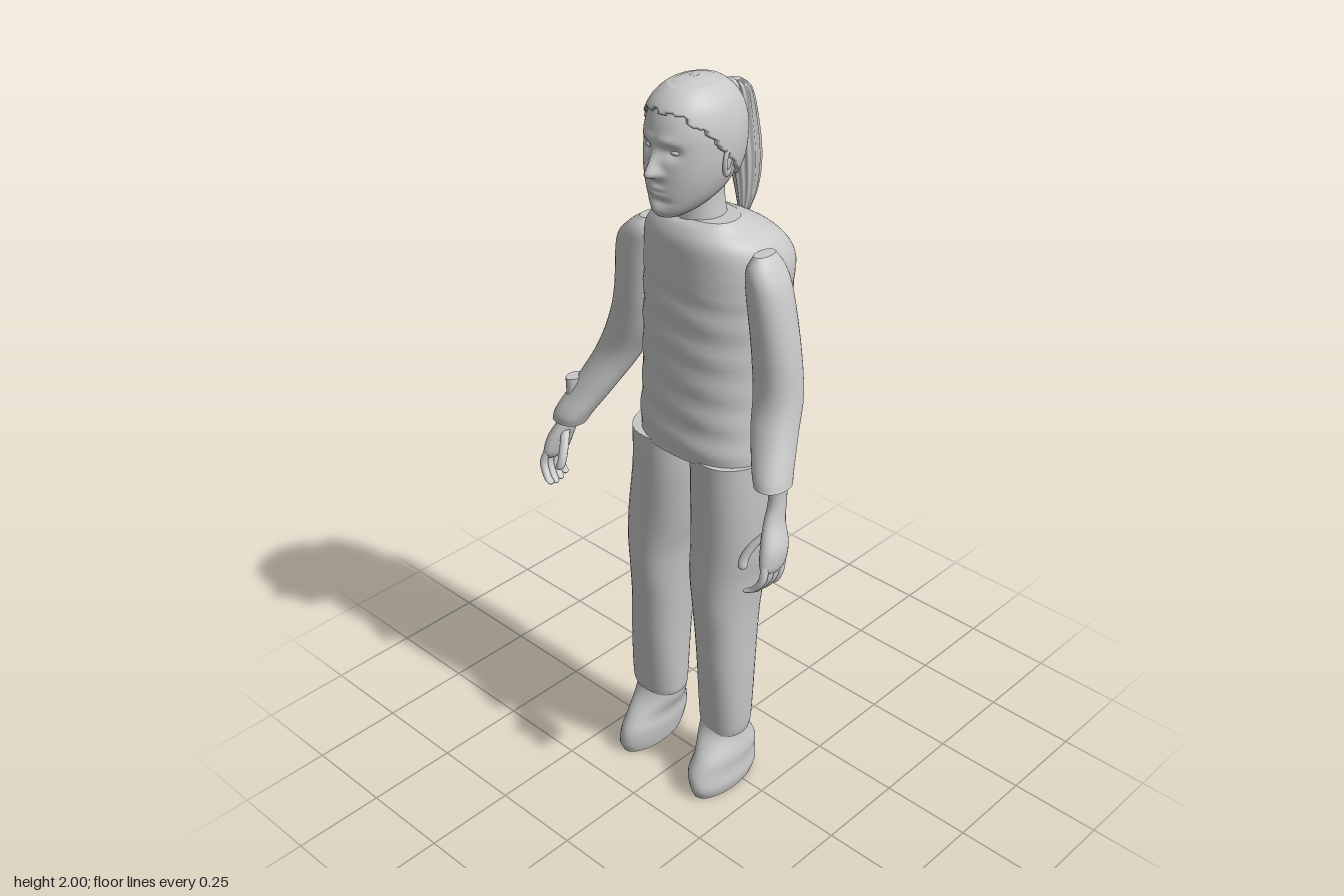
import * as THREE from 'three';

const grey = new THREE.MeshStandardMaterial({ color: 0xc8c8c8 });
grey.name = 'plain grey';

// Smooth skin through horizontal sections [y, x0, x1, z0, z1], listed top to bottom.
// power > 2 squares the section; ripple(angle) scales its radius; capped ends are crisp.
function loft(rings, { n = 32, rows = 30, power = 2, ripple = () => 1 } = {}) {
  const a = new THREE.CatmullRomCurve3(rings.map(r => new THREE.Vector3(r[0], r[1], r[2])), false, 'catmullrom');
  const b = new THREE.CatmullRomCurve3(rings.map(r => new THREE.Vector3(r[3], r[4], 0)), false, 'catmullrom');
  const pos = [], idx = [];
  const soft = v => Math.sign(v) * Math.pow(Math.abs(v), 2 / power);
  const addRing = t => {
    const p = a.getPoint(t), q = b.getPoint(t);
    const cx = (p.y + p.z) / 2, rx = (p.z - p.y) / 2, cz = (q.x + q.y) / 2, rz = (q.y - q.x) / 2;
    for (let j = 0; j < n; j++) {
      const w = j / n * Math.PI * 2, k = ripple(w);
      pos.push(cx + rx * k * soft(Math.sin(w)), p.x, cz + rz * k * soft(Math.cos(w)));
    }
    return [cx, p.x, cz];
  };
  for (let i = 0; i <= rows; i++) addRing(i / rows);
  for (let i = 0; i < rows; i++) for (let j = 0; j < n; j++) {
    const u = i * n + j, v = i * n + (j + 1) % n;
    idx.push(u, u + n, v + n, u, v + n, v);
  }
  for (const t of [0, 1]) {
    const start = pos.length / 3, c = addRing(t), centre = start + n;
    pos.push(...c);
    for (let j = 0; j < n; j++) {
      const u = start + j, v = start + (j + 1) % n;
      t === 0 ? idx.push(centre, u, v) : idx.push(centre, v, u);
    }
  }
  const g = new THREE.BufferGeometry();
  g.setAttribute('position', new THREE.Float32BufferAttribute(pos, 3));
  g.setIndex(idx);
  g.computeVertexNormals();
  return g;
}

// Move every vertex by a rule
function reshape(g, rule) {
  const p = g.attributes.position, v = new THREE.Vector3();
  for (let i = 0; i < p.count; i++) {
    v.fromBufferAttribute(p, i);
    rule(v, i);
    p.setXYZ(i, v.x, v.y, v.z);
  }
  g.computeVertexNormals();
  return g;
}

const bell = (d, w) => Math.exp(-(d * d) / (w * w));
const MID = 0.02; // head centre line

export function createModel() {
  const model = new THREE.Group();
  const add = (name, geometry, parent = model) => {
    const m = new THREE.Mesh(geometry, grey);
    m.name = name;
    parent.add(m);
    return m;
  };

  // Sweater body with faint folds
  const torso = loft([
    [1.672, -0.085, 0.125, -0.06, 0.065], [1.655, -0.1, 0.14, -0.09, 0.085],
    [1.62, -0.14, 0.19, -0.155, 0.1], [1.56, -0.157, 0.215, -0.202, 0.103],
    [1.48, -0.157, 0.217, -0.196, 0.105], [1.35, -0.155, 0.212, -0.186, 0.11],
    [1.2, -0.155, 0.212, -0.176, 0.115], [1.1, -0.16, 0.222, -0.171, 0.12],
    [1.055, -0.155, 0.225, -0.165, 0.12],
  ], { n: 56, rows: 60, power: 2.35 });
  add('sweaterBody', reshape(torso, v => {
    if (v.y < 1.5) v.z += 0.0025 * Math.sin(v.y * 75 + v.x * 9);
  }));

  // Sleeves
  const sleeveOptions = { n: 32, rows: 40, power: 2.2 };
  add('leftSleeve', loft([
    [1.62, 0.2, 0.235, -0.03, 0.035], [1.585, 0.185, 0.26, -0.05, 0.055],
    [1.53, 0.185, 0.285, -0.056, 0.06], [1.4, 0.2, 0.315, -0.056, 0.058],
    [1.28, 0.212, 0.332, -0.052, 0.062], [1.2, 0.235, 0.347, -0.02, 0.092],
    [1.12, 0.278, 0.37, 0.025, 0.13], [1.09, 0.295, 0.378, 0.04, 0.14],
  ], sleeveOptions));
  add('rightSleeve', loft([
    [1.61, -0.165, -0.125, -0.03, 0.035], [1.58, -0.205, -0.11, -0.05, 0.055],
    [1.53, -0.243, -0.112, -0.058, 0.06], [1.4, -0.257, -0.128, -0.063, 0.058],
    [1.3, -0.285, -0.15, -0.063, 0.055], [1.2, -0.325, -0.2, -0.045, 0.062],
    [1.1, -0.365, -0.252, 0.01, 0.105], [1.03, -0.392, -0.29, 0.05, 0.145],
    [1.0, -0.398, -0.305, 0.065, 0.15],
  ], sleeveOptions));

  // Hands, mirrored across x
  for (const [side, s] of [['left', 1], ['right', -1]]) {
    const hand = new THREE.Group();
    hand.name = side + 'Hand';
    model.add(hand);
    const part = (name, rings, o) => add(name, loft(
      rings.map(([y, a, b, c, d]) => s > 0 ? [y, a, b, c, d] : [y, -b, -a, c, d]), o), hand);
    part('palm', [
      [1.12, 0.33, 0.368, 0.06, 0.115], [1.05, 0.33, 0.37, 0.062, 0.115],
      [1.0, 0.335, 0.378, 0.072, 0.138], [0.95, 0.347, 0.4, 0.08, 0.165],
      [0.91, 0.358, 0.402, 0.092, 0.177], [0.892, 0.368, 0.396, 0.11, 0.168],
    ], { n: 20, rows: 20 });
    const fingerPath = (points, r) => points.map(([x, y, z], i) => {
      const k = i === points.length - 1 ? r * 0.35 : r;
      return [y, x - k, x + k, z - k, z + k];
    });
    for (let i = 0; i < 4; i++) {
      const z = 0.102 + i * 0.021, tip = 0.824 + Math.abs(i - 1.6) * 0.007;
      part('finger', fingerPath([
        [0.382, 0.915, z], [0.386, 0.88, z + 0.012],
        [0.376 - i * 0.003, 0.85, z + 0.02], [0.362 - i * 0.004, tip + 0.006, z + 0.024],
        [0.358 - i * 0.004, tip, z + 0.025],
      ], 0.0105), { n: 10, rows: 14 });
    }
    part('thumb', fingerPath([
      [0.352, 0.975, 0.125], [0.332, 0.945, 0.15], [0.321, 0.915, 0.168],
      [0.322, 0.892, 0.177], [0.324, 0.886, 0.178],
    ], 0.012), { n: 10, rows: 14 });
  }

  // Trouser legs
  const legOptions = { n: 36, rows: 50, power: 2.3 };
  add('rightTrouserLeg', loft([
    [1.062, -0.175, 0.03, -0.155, 0.112], [0.95, -0.178, 0.026, -0.15, 0.11],
    [0.8, -0.2, 0.005, -0.13, 0.104], [0.7, -0.2, -0.018, -0.108, 0.104],
    [0.6, -0.19, -0.03, -0.09, 0.102], [0.5, -0.194, -0.038, -0.08, 0.092],
    [0.4, -0.203, -0.045, -0.073, 0.085], [0.28, -0.212, -0.05, -0.066, 0.074],
    [0.2, -0.215, -0.055, -0.063, 0.066], [0.178, -0.208, -0.06, -0.058, 0.062],
  ], legOptions));
  add('leftTrouserLeg', loft([
    [1.062, 0.026, 0.23, -0.155, 0.112], [0.95, 0.026, 0.23, -0.15, 0.11],
    [0.8, 0.025, 0.222, -0.13, 0.104], [0.7, 0.025, 0.206, -0.108, 0.104],
    [0.6, 0.038, 0.196, -0.09, 0.102], [0.5, 0.042, 0.192, -0.08, 0.092],
    [0.4, 0.045, 0.19, -0.073, 0.085], [0.28, 0.043, 0.187, -0.066, 0.074],
    [0.2, 0.043, 0.182, -0.063, 0.066], [0.17, 0.048, 0.176, -0.058, 0.062],
  ], legOptions));

  // Shoes
  const shoe = x => [
    [0.2, x[0], x[1], -0.05, 0.055], [0.16, x[0], x[1], -0.07, 0.075],
    [0.11, x[2], x[3], -0.088, 0.122], [0.07, x[2], x[3], -0.092, 0.148],
    [0.03, x[4], x[5], -0.085, 0.153], [0, x[4] + 0.006, x[5] - 0.006, -0.07, 0.142],
  ];
  add('rightShoe', loft(shoe([-0.2, -0.066, -0.19, -0.083, -0.193, -0.088]), { n: 32, rows: 24, power: 2.1 }));
  add('leftShoe', loft(shoe([0.046, 0.171, 0.068, 0.183, 0.083, 0.188]), { n: 32, rows: 24, power: 2.1 }));

  // Neck
  add('neck', loft([
    [1.78, MID - 0.058, MID + 0.058, -0.055, 0.065], [1.71, MID - 0.06, MID + 0.06, -0.05, 0.068],
    [1.64, MID - 0.07, MID + 0.07, -0.06, 0.072],
  ], { n: 28, rows: 10 }));

  // Skull and jaw
  const headGeometry = () => loft([
    [1.997, 0.012, 0.028, 0.015, 0.035], [1.987, -0.022, 0.062, -0.035, 0.085],
    [1.955, -0.056, 0.096, -0.075, 0.125], [1.91, -0.074, 0.114, -0.097, 0.146],
    [1.86, -0.08, 0.12, -0.1, 0.152], [1.8, -0.076, 0.116, -0.088, 0.154],
    [1.75, -0.06, 0.1, -0.055, 0.152], [1.715, -0.036, 0.076, 0, 0.149],
    [1.696, -0.012, 0.052, 0.05, 0.14], [1.69, 0.005, 0.035, 0.08, 0.12],
  ], { n: 96, rows: 90, power: 2.1 });

  // Facial relief: nose, sockets, brow, lips and chin
  const head = new THREE.Group();
  head.name = 'head';
  model.add(head);
  add('face', reshape(headGeometry(), v => {
    if (v.z < 0.07) return;
    const dx = v.x - MID, ax = Math.abs(dx), y = v.y;
    const nose = y > 1.805 ? bell(y - 1.805, 0.035) : bell(y - 1.805, 0.011);
    v.z += 0.034 * nose * bell(dx, 0.011 + 0.006 * bell(y - 1.805, 0.012))
      + 0.005 * bell(y - 1.882, 0.012) * bell(ax - 0.03, 0.03)
      - 0.013 * bell(y - 1.855, 0.014) * bell(ax - 0.038, 0.02)
      + 0.007 * (bell(y - 1.77, 0.006) + bell(y - 1.755, 0.006)) * bell(dx, 0.022)
      - 0.006 * bell(y - 1.737, 0.008) * bell(dx, 0.03)
      + 0.006 * bell(y - 1.712, 0.012) * bell(dx, 0.022);
  }), head);

  // Eyes and ears
  for (const s of [-1, 1]) {
    const eye = add('eye', new THREE.SphereGeometry(0.013, 16, 12), head);
    eye.scale.set(1.15, 0.55, 0.8);
    eye.position.set(MID + s * 0.037, 1.854, 0.126);
    const ear = new THREE.Group();
    ear.name = 'ear';
    ear.position.set(MID + s * 0.101, 1.825, 0.022);
    ear.rotation.set(-0.15, s * 0.35, 0);
    head.add(ear);
    const rim = add('earRim', new THREE.TorusGeometry(0.018, 0.006, 8, 24), ear);
    rim.rotation.y = Math.PI / 2;
    rim.scale.set(1, 1.7, 1);
    add('earBowl', new THREE.SphereGeometry(0.018, 16, 12), ear).scale.set(0.35, 1.5, 0.9);
  }

  // Hair cap: a raised skull shell that sinks beneath the skin past an uneven hairline
  const cap = headGeometry(), normals = cap.attributes.normal.clone();
  add('hairCap', reshape(cap, (v, i) => {
    const wave = 0.004 * Math.sin(v.x * 160) + 0.004 * Math.sin(v.y * 210);
    const behind = v.z < 0.035 + (v.y - 1.84) * 0.9 + wave;
    const hair = v.y > 1.942 + wave || (v.y > 1.765 + wave && behind);
    const lift = v.y > 1.985 ? 0.003 : hair ? 0.009 : -0.02;
    v.x += normals.getX(i) * lift;
    v.y += normals.getY(i) * lift * 0.4;
    v.z += normals.getZ(i) * lift;
  }), head);

  // Ponytail with its tie
  add('ponytail', loft([
    [1.955, 0.005, 0.035, -0.125, -0.098], [1.93, -0.018, 0.052, -0.152, -0.1],
    [1.85, -0.024, 0.06, -0.174, -0.1], [1.76, -0.018, 0.062, -0.185, -0.106],
    [1.68, -0.002, 0.052, -0.178, -0.118], [1.615, 0.012, 0.034, -0.153, -0.13],
  ], { n: 84, rows: 36, ripple: w => 0.95 + 0.06 * Math.cos(14 * w) }), head);
  const tie = add('hairTie', new THREE.TorusGeometry(0.016, 0.007, 10, 24), head);
  tie.position.set(MID, 1.94, -0.098);
  tie.rotation.x = 0.3;

  return model;
}
